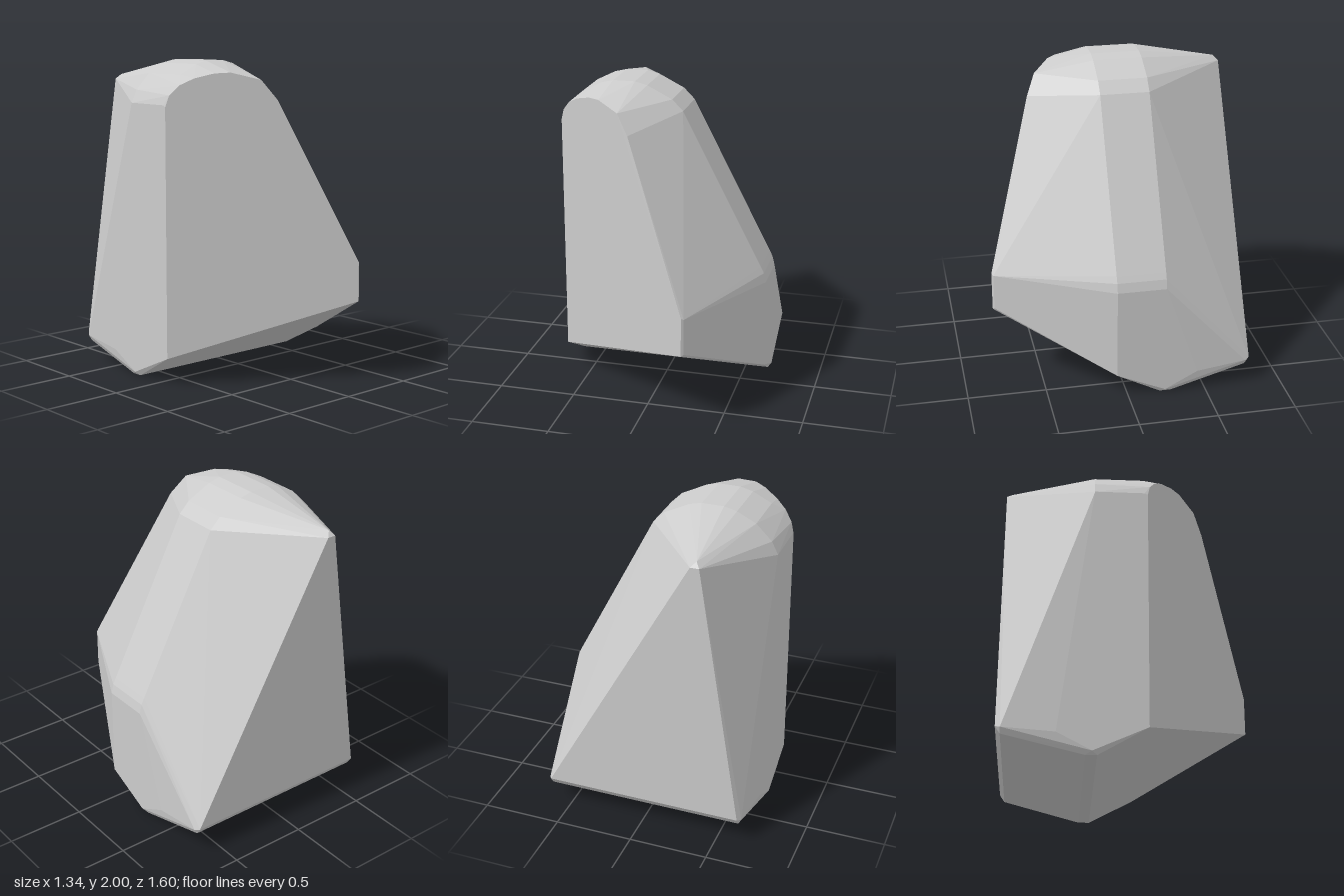
import * as THREE from 'three';
import { ConvexGeometry } from 'three/addons/geometries/ConvexGeometry.js';

export function createModel() {
  const group = new THREE.Group();
  const points = [];
  const add = (x, y, z) => points.push(new THREE.Vector3(x, y, z));

  // Arched section, carried straight along z through the middle of the rock
  const arch = [
    [-0.67, 1.74], [-0.63, 1.82], [-0.53, 1.92], [-0.41, 1.98], [-0.33, 2], [-0.19, 2],
    [-0.11, 1.98], [0.05, 1.9], [0.12, 1.83], [0.635, 0.84], [0.655, 0.8], [0.67, 0.74],
  ];
  for (const [x, y] of arch) for (const z of [0.07, -0.24]) add(x, y, z);

  // Upright slanting front face: its rounded top, then its forward corner
  const frontFace = [
    [-0.67, 1.73], [-0.65, 1.8], [-0.6, 1.86], [-0.53, 1.9], [-0.43, 1.93], [-0.35, 1.935],
    [-0.2, 1.89], [-0.12, 1.77], [0.28, 0.77], [0.28, 0.51], [-0.67, 0.17],
  ];
  for (const [x, y] of frontFace) add(x, y, 0.09 + 0.73 * (x + 0.67));
  add(0.305, 0.75, 0.79);
  add(0.305, 0.52, 0.79);
  add(0.29, 0.51, 0.8);
  add(0.29, 0.76, 0.8);

  // Base ridge and lower back corners, the same on both sides
  for (const s of [-1, 1]) {
    add(s * 0.67, 0.02, -0.24);
    add(s * 0.65, 0, -0.21);
    add(s * 0.65, 0, -0.28);
    add(s * 0.67, 0.13, -0.45);
    add(s * 0.65, 0.16, -0.77);
    add(s * 0.63, 0.17, -0.8);
    add(s * 0.63, 0.125, -0.77);
  }
  add(0.67, 0.155, 0.07);

  // Blunt back peak
  add(-0.35, 1.89, -0.77);
  add(-0.375, 1.86, -0.8);
  add(-0.32, 1.86, -0.8);

  const rock = new THREE.Mesh(
    new ConvexGeometry(points),
    new THREE.MeshStandardMaterial({ color: 0xcccccc, flatShading: true })
  );
  rock.name = 'rock';
  group.add(rock);
  return group;
}
